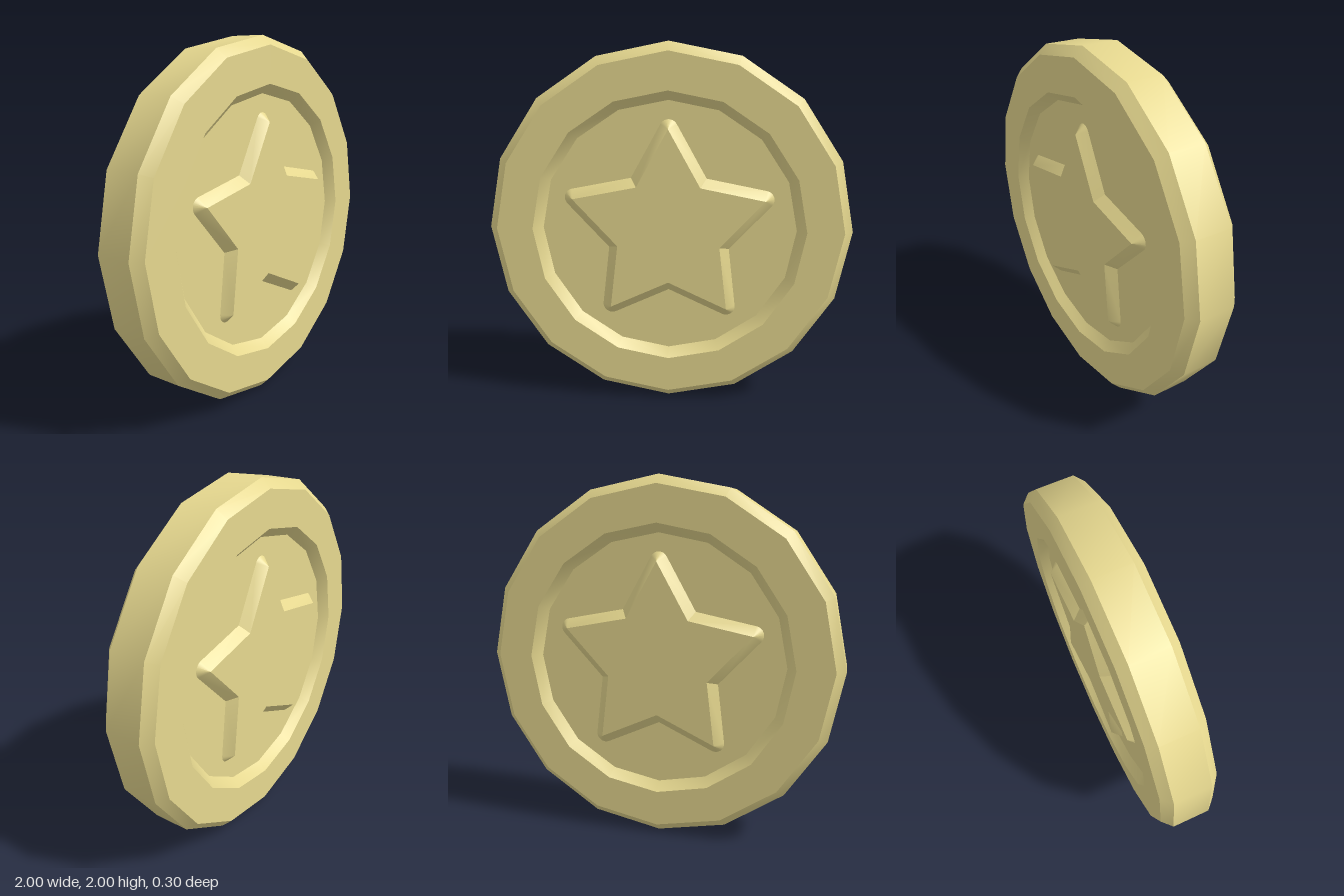
import * as THREE from 'three';
import { toCreasedNormals } from 'three/addons/utils/BufferGeometryUtils.js';

const CREASE = Math.PI / 6;
const FLOOR = 0.1, FACE = 0.15, BEVEL = 0.05;

// Sixteen-sided disc with bevelled rim and a recess on both faces
function coinGeometry() {
  const half = [[0, FLOOR], [0.7, FLOOR], [0.75, FACE], [0.95, FACE], [1, 0.1]];
  const profile = [
    ...half.map(([r, h]) => new THREE.Vector2(r, -h)),
    ...half.map(([r, h]) => new THREE.Vector2(r, h)).reverse(),
  ];
  const geometry = new THREE.LatheGeometry(profile, 16).rotateX(Math.PI / 2);
  return toCreasedNormals(geometry, CREASE);
}

// Raised star: sharp top outline, base grown by the bevel with rounded tips
function starGeometry() {
  const tipR = 0.55, valleyR = 0.295, steps = 8;
  const polar = (r, a) => new THREE.Vector2(r * Math.cos(a), r * Math.sin(a));
  const valley0 = polar(valleyR, Math.PI / 5);
  // direction of the outward normal of the edge beside a tip on the +x axis
  const normal = Math.atan2(tipR - valley0.x, valley0.y);
  const valleyBase = valleyR + BEVEL / Math.cos(Math.PI / 5 - normal);

  const top = [], base = [];
  for (let i = 0; i < 5; i++) {
    const a = Math.PI / 2 + (i * Math.PI * 2) / 5;
    const tip = polar(tipR, a);
    for (let s = 0; s <= steps; s++) {
      top.push(tip);
      base.push(polar(BEVEL, a + normal * ((2 * s) / steps - 1)).add(tip));
    }
    top.push(polar(valleyR, a + Math.PI / 5));
    base.push(polar(valleyBase, a + Math.PI / 5));
  }

  const positions = [];
  const tri = (...corners) => corners.forEach(([p, z]) => positions.push(p.x, p.y, z));
  const centre = new THREE.Vector2();
  for (let i = 0; i < top.length; i++) {
    const j = (i + 1) % top.length;
    tri([base[i], FLOOR], [base[j], FLOOR], [top[j], FACE]);
    if (top[i] !== top[j]) {
      tri([base[i], FLOOR], [top[j], FACE], [top[i], FACE]);
      tri([centre, FACE], [top[i], FACE], [top[j], FACE]);
    }
  }
  const geometry = new THREE.BufferGeometry();
  geometry.setAttribute('position', new THREE.Float32BufferAttribute(positions, 3));
  return toCreasedNormals(geometry, CREASE);
}

export function createModel() {
  const group = new THREE.Group();
  group.name = 'coin';
  const gold = new THREE.MeshStandardMaterial({ color: 0xe6d88f });

  const add = (name, geometry, turn = 0) => {
    const mesh = new THREE.Mesh(geometry, gold);
    mesh.name = name;
    mesh.position.y = 1;
    mesh.rotation.y = turn;
    group.add(mesh);
  };

  add('coinBody', coinGeometry());
  const star = starGeometry();
  add('frontStar', star);
  add('backStar', star, Math.PI);
  return group;
}
